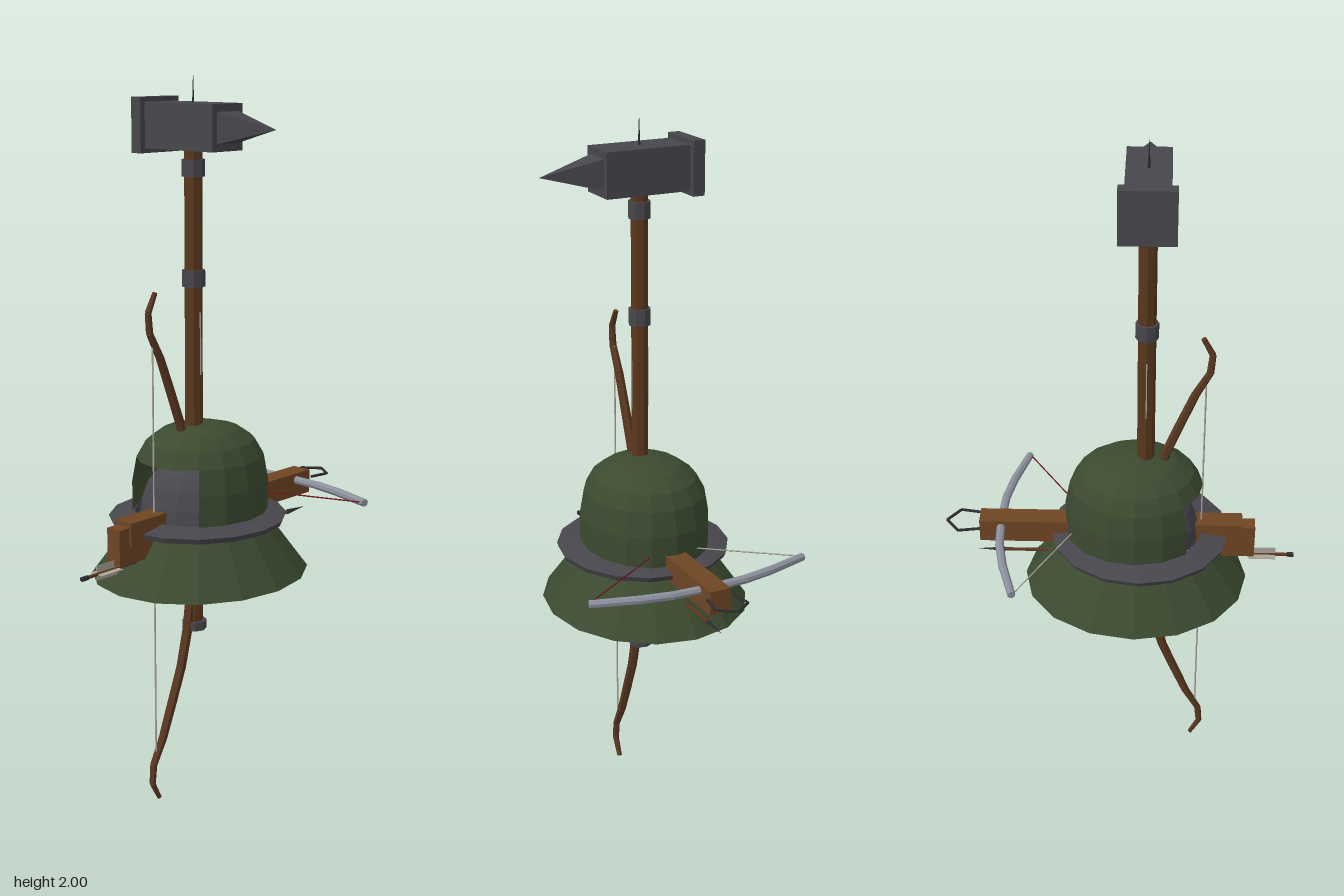
import * as THREE from 'three';

const mat = (name, color, double = false) => {
  const m = new THREE.MeshStandardMaterial({ color, flatShading: true });
  m.name = name;
  if (double) m.side = THREE.DoubleSide;
  return m;
};

export function createModel() {
  const root = new THREE.Group();
  root.name = 'weaponTotem';
  const green = mat('helmetGreen', 0x3b4a30, true);
  const iron = mat('darkIron', 0x46464c, true);
  const steel = mat('steel', 0x8c909c);
  const wood = mat('handleWood', 0x5a371c);
  const stockWood = mat('stockWood', 0x6e4523);
  const bowWood = mat('bowWood', 0x5a3720);
  const pale = mat('paleString', 0xa9a498, true);
  const red = mat('redString', 0x6a1618);
  const black = mat('blackIron', 0x2c2c2f);

  const add = (parent, name, geo, material, x = 0, y = 0, z = 0) => {
    const mesh = new THREE.Mesh(geo, material);
    mesh.name = name;
    mesh.position.set(x, y, z);
    parent.add(mesh);
    return mesh;
  };
  const group = (name) => {
    const g = new THREE.Group();
    g.name = name;
    root.add(g);
    return g;
  };
  const box = (p, name, m, w, h, d, x, y, z) => add(p, name, new THREE.BoxGeometry(w, h, d), m, x, y, z);
  // Tapered rod between two points
  const rod = (p, name, m, a, b, ra, rb = ra, sides = 6) => {
    const va = new THREE.Vector3(...a), vb = new THREE.Vector3(...b);
    const dir = vb.clone().sub(va);
    const mesh = add(p, name, new THREE.CylinderGeometry(rb, ra, dir.length(), sides), m);
    mesh.position.copy(va).add(vb).multiplyScalar(0.5);
    mesh.quaternion.setFromUnitVectors(new THREE.Vector3(0, 1, 0), dir.normalize());
    return mesh;
  };
  const chain = (p, name, m, pts, radii, sides) => {
    for (let i = 0; i < pts.length - 1; i++) rod(p, name, m, pts[i], pts[i + 1], radii[i], radii[i + 1], sides);
  };
  const lathe = (p, name, m, pts, z, zScale, start = 0, length = Math.PI * 2, segs = 16) => {
    const geo = new THREE.LatheGeometry(pts.map(([r, y]) => new THREE.Vector2(r, y)), segs, start, length);
    geo.scale(1, 1, zScale);
    return add(p, name, geo, m, 0, 0, z);
  };

  // War hammer
  const hz = 0.07;
  const hammer = group('warHammer');
  rod(hammer, 'handle', wood, [0, 0.48, hz], [0, 1.81, hz], 0.024, 0.024, 8);
  for (const [y, h, r] of [[1.75, 0.045, 0.031], [1.46, 0.045, 0.031], [0.485, 0.025, 0.034]])
    add(hammer, 'collar', new THREE.CylinderGeometry(r, r, h, 8), iron, 0, y, hz);
  box(hammer, 'hammerHead', iron, 0.24, 0.12, 0.115, 0, 1.857, hz);
  box(hammer, 'strikingFace', iron, 0.034, 0.145, 0.145, -0.138, 1.857, hz);
  const spike = new THREE.ConeGeometry(0.058, 0.165, 4);
  spike.rotateY(Math.PI / 4).rotateZ(-Math.PI / 2);
  add(hammer, 'spike', spike, iron, 0.2, 1.857, hz);
  add(hammer, 'topPin', new THREE.ConeGeometry(0.004, 0.09, 4), black, 0, 1.955, hz);
  box(hammer, 'palePlate', pale, 0.052, 0.17, 0.003, 0, 1.285, hz);
  const ring = new THREE.TorusGeometry(0.015, 0.003, 5, 10);
  ring.rotateY(Math.PI / 2);
  add(hammer, 'hangingRing', ring, black, 0, 0.597, 0.1);

  // Helmet with a face opening at the front
  const helmet = group('helmet');
  const q = Math.PI / 4;
  lathe(helmet, 'domeWall', green, [[0.177, 0.77], [0.177, 0.9], [0.165, 0.97]], 0.045, 1.12, q, q * 6, 12);
  lathe(helmet, 'domeTop', green,
    [[0.165, 0.97], [0.142, 1.013], [0.1, 1.045], [0.05, 1.06], [0, 1.066]], 0.045, 1.12);
  lathe(helmet, 'flaredBrim', green, [[0.285, 0.642], [0.185, 0.785], [0.175, 0.785]], 0.045, 1.11);
  lathe(helmet, 'ironRing', iron,
    [[0.172, 0.795], [0.235, 0.79], [0.241, 0.805], [0.172, 0.818], [0.172, 0.795]], 0.055, 1.04);
  lathe(helmet, 'faceLining', iron,
    [[0.158, 0.8], [0.152, 0.85], [0.135, 0.9], [0.11, 0.935], [0.07, 0.96], [0, 0.97]], 0.05, 1.09);

  // Recurve bow, mirrored about its grip
  const bow = group('bow');
  const cy = 0.722;
  const limb = [[0, 0.075], [0.12, 0.08], [0.25, 0.1], [0.35, 0.125], [0.45, 0.164],
    [0.54, 0.2], [0.61, 0.238], [0.665, 0.243], [0.715, 0.217]];
  const radii = [0.015, 0.015, 0.014, 0.0135, 0.013, 0.012, 0.01, 0.009, 0.007];
  for (const s of [1, -1])
    chain(bow, 'bowLimb', bowWood, limb.map(([y, z]) => [0, cy + s * y, z]), radii, 6);
  rod(bow, 'bowString', pale, [0, cy - 0.61, 0.228], [0, cy + 0.61, 0.228], 0.0025, 0.0025, 5);

  // Crossbow
  const crossbow = group('crossbow');
  box(crossbow, 'stock', stockWood, 0.06, 0.068, 0.74, 0, 0.811, -0.026);
  box(crossbow, 'butt', stockWood, 0.046, 0.1, 0.13, 0, 0.782, 0.315);
  chain(crossbow, 'steelProd', steel,
    [[-0.322, 0.825, -0.28], [-0.2, 0.825, -0.315], [-0.11, 0.825, -0.332], [0, 0.825, -0.337],
      [0.11, 0.825, -0.332], [0.2, 0.825, -0.315], [0.322, 0.825, -0.28]],
    [0.011, 0.012, 0.012, 0.012, 0.012, 0.012, 0.011], 8);
  for (const s of [1, -1])
    rod(crossbow, 'crossbowString', s > 0 ? red : pale,
      [s * 0.31, 0.827, -0.272], [0, 0.847, -0.09], 0.002, 0.002, 5);
  chain(crossbow, 'stirrup', black,
    [[-0.038, 0.825, -0.395], [-0.048, 0.825, -0.455], [0, 0.825, -0.49], [0.048, 0.825, -0.455], [0.038, 0.825, -0.395]],
    [0.004, 0.004, 0.004, 0.004, 0.004], 6);

  // Bolt lying under the crossbow
  const bolt = group('bolt');
  rod(bolt, 'boltShaft', bowWood, [0, 0.723, 0.485], [0, 0.723, -0.34], 0.005);
  rod(bolt, 'boltNock', black, [0, 0.723, 0.495], [0, 0.723, 0.475], 0.007);
  rod(bolt, 'boltHead', black, [0, 0.723, -0.33], [0, 0.723, -0.405], 0.008, 0.0005, 4);
  box(bolt, 'fletching', pale, 0.044, 0.002, 0.075, 0, 0.723, 0.405);
  box(bolt, 'fletching', pale, 0.002, 0.04, 0.075, 0, 0.726, 0.405);

  return root;
}
